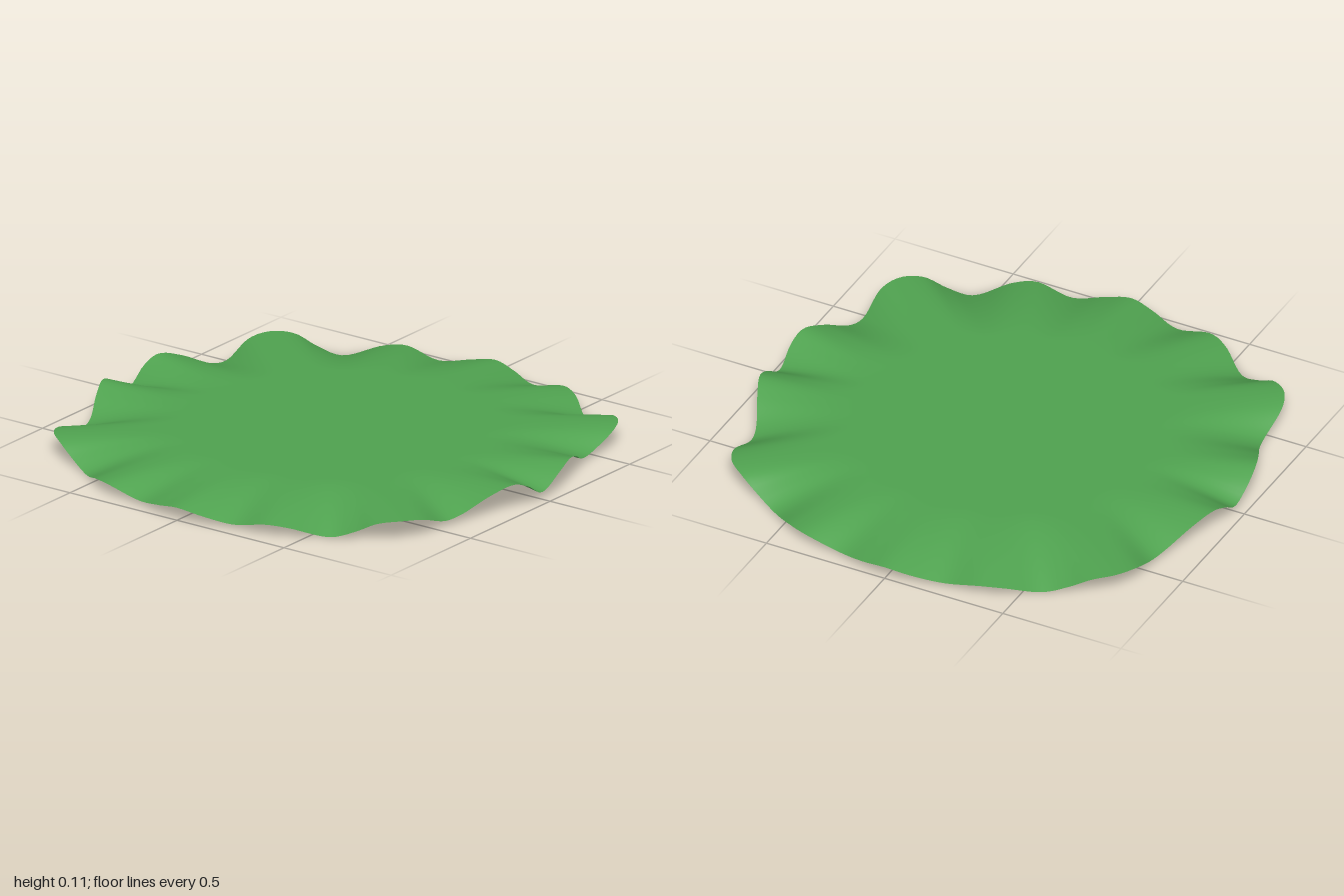
import * as THREE from 'three';

// One quarter of the rim, from the front tip round to the left side: [x, y, z]
const QUARTER = [
  [0, 0.053, 1], [0.1, 0.037, 0.983], [0.22, 0.018, 0.945], [0.37, 0.048, 0.938],
  [0.45, 0.04, 0.9], [0.57, 0.003, 0.805], [0.66, 0.033, 0.767], [0.74, 0.073, 0.738],
  [0.81, 0.083, 0.685], [0.848, 0.073, 0.6], [0.85, 0.025, 0.45], [0.868, 0.033, 0.378],
  [0.92, 0.085, 0.27], [0.96, 0.111, 0.175], [0.971, 0.085, 0.1], [0.965, 0.032, 0],
];
const LEVEL = 0.086; // height of the flat middle
const SEGMENTS = 288;
const RINGS = 40;

// Closed smooth rim, mirrored into all four quarters
function rimCurve() {
  const half = [...QUARTER, ...QUARTER.slice(0, -1).reverse().map(([x, y, z]) => [x, y, -z])];
  const all = [...half, ...half.slice(1, -1).reverse().map(([x, y, z]) => [-x, y, z])];
  return new THREE.CatmullRomCurve3(all.map((p) => new THREE.Vector3(...p)), true, 'centripetal');
}

// Thin sheet: flat in the middle, ruffled progressively towards the rim
function sheetGeometry() {
  const rim = rimCurve().getSpacedPoints(SEGMENTS).slice(0, SEGMENTS);
  const positions = [0, LEVEL, 0];
  const index = [];
  for (let r = 1; r <= RINGS; r++) {
    const t = Math.pow(r / RINGS, 0.6); // finer rings near the rim
    const ruffle = Math.pow(Math.max(0, (t - 0.6) / 0.4), 1.7);
    for (const p of rim) {
      positions.push(p.x * t, LEVEL + (p.y - LEVEL) * ruffle, p.z * t);
    }
  }
  for (let s = 0; s < SEGMENTS; s++) {
    const n = (s + 1) % SEGMENTS;
    index.push(0, 1 + s, 1 + n);
    for (let r = 0; r < RINGS - 1; r++) {
      const a = 1 + r * SEGMENTS;
      const b = a + SEGMENTS;
      index.push(a + s, b + s, b + n, a + s, b + n, a + n);
    }
  }
  const geometry = new THREE.BufferGeometry();
  geometry.setAttribute('position', new THREE.Float32BufferAttribute(positions, 3));
  geometry.setIndex(index);
  geometry.computeVertexNormals();
  return geometry;
}

export function createModel() {
  const group = new THREE.Group();
  group.name = 'ruffledLeaf';
  const material = new THREE.MeshStandardMaterial({ color: 0x50a350, side: THREE.DoubleSide });
  const leaf = new THREE.Mesh(sheetGeometry(), material);
  leaf.name = 'leafSheet';
  group.add(leaf);
  return group;
}
